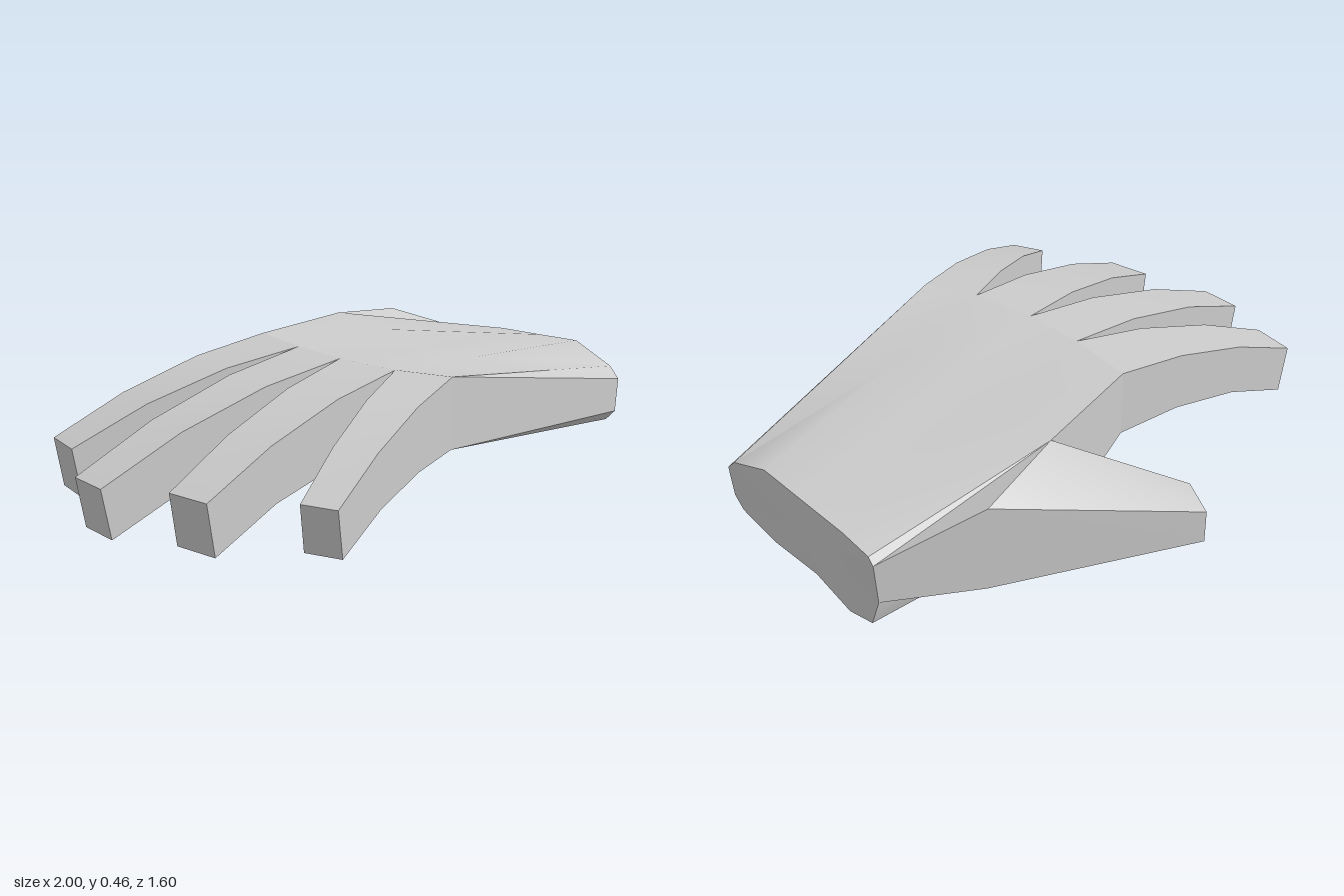
import * as THREE from 'three';
import { toCreasedNormals } from 'three/addons/utils/BufferGeometryUtils.js';

const V = (x, y, z) => new THREE.Vector3(x, y, z);

// Skin a row of equal-length rings and cap the last one.
function loft(name, rings) {
  const pos = [];
  const tri = (...pts) => pts.forEach(p => pos.push(p.x, p.y, p.z));
  const n = rings[0].length;
  for (let i = 0; i < rings.length - 1; i++) {
    for (let j = 0; j < n; j++) {
      const k = (j + 1) % n;
      const [a, b, c, d] = [rings[i][j], rings[i][k], rings[i + 1][k], rings[i + 1][j]];
      if (a.distanceTo(b) > 1e-5) tri(a, d, b);
      if (c.distanceTo(d) > 1e-5) tri(b, d, c);
    }
  }
  const end = rings[rings.length - 1];
  const centre = end.reduce((s, p) => s.add(p), V(0, 0, 0)).divideScalar(n);
  end.forEach((p, j) => tri(centre, end[(j + 1) % n], p));
  const geo = new THREE.BufferGeometry();
  geo.setAttribute('position', new THREE.Float32BufferAttribute(pos, 3));
  const mesh = new THREE.Mesh(
    toCreasedNormals(geo, 0.55),
    new THREE.MeshStandardMaterial({ color: 0xcccccc })
  );
  mesh.name = name;
  return mesh;
}

const TOP = 0.46, UNDER = 0.22;

// Knuckle line as [x, z], from the little finger side to the thumb side
const webs = [[0.02, 0.54], [-0.06, 0.36], [-0.1, 0.13], [-0.1, -0.09], [-0.07, -0.33]];

// Wrist outline as [z, y]: over the back of the hand, then under the palm
const wristOutline = [
  [0.39, 0.26], [0.35, 0.30], [0.18, 0.365], [0, 0.355], [-0.2, 0.345], [-0.32, 0.325], [-0.34, 0.30],
  [-0.34, 0.15], [-0.30, 0.04], [-0.19, 0.015], [-0.03, 0.065], [0.18, 0.065], [0.35, 0.10], [0.39, 0.14]
];

function palm() {
  const order = [0, 0, 1, 2, 3, 4, 4];
  const at = (i, y) => V(webs[i][0], y, webs[i][1]);
  const knuckles = [
    ...order.map(i => at(i, TOP)),
    ...[...order].reverse().map(i => at(i, UNDER))
  ];
  const wrist = wristOutline.map(([z, y], j) => V(j < 7 ? 1 : 0.99, y, z));
  const middle = knuckles.map((p, j) => p.clone().lerp(wrist[j], 0.42));
  // Thumb web on top, ball of the thumb below
  middle[4] = V(0.36, 0.44, -0.16);
  middle[5] = V(0.35, TOP, -0.42);
  middle[6] = V(0.35, TOP, -0.42);
  middle[7] = V(0.36, 0.06, -0.42);
  middle[8] = V(0.47, 0.005, -0.31);
  middle[9] = V(0.45, 0.04, -0.19);
  return loft('palm', [knuckles, middle, wrist]);
}

// Bent four-sided finger between two neighbouring webs
function finger(name, i, tipLow, tipHigh, tipTop, tipUnder) {
  const high = webs[i], low = webs[i + 1];
  const steps = [[0, 0, 0], [0.33, 0.18, 0.08], [0.68, 0.53, 0.42], [1, 1, 1]];
  const rings = steps.map(([t, bendTop, bendUnder]) => {
    const yTop = TOP + (tipTop - TOP) * bendTop;
    const yUnder = UNDER + (tipUnder - UNDER) * bendUnder;
    const point = (base, tip, y, s) =>
      V(base[0] + (tip[0] - base[0]) * s, y, base[1] + (tip[1] - base[1]) * s);
    const u = t * 0.965;
    return [
      point(low, tipLow, yTop, t), point(high, tipHigh, yTop, t),
      point(high, tipHigh, yUnder, u), point(low, tipLow, yUnder, u)
    ];
  });
  return loft(name, rings);
}

function thumb() {
  return loft('thumb', [
    [V(1, 0.30, -0.34), V(1, 0.30, -0.34), V(0.99, 0.15, -0.34), V(0.99, 0.15, -0.34)],
    [V(0.68, 0.42, -0.49), V(0.35, TOP, -0.42), V(0.36, 0.06, -0.42), V(0.68, 0.10, -0.48)],
    [V(0.04, 0.22, -0.80), V(-0.03, 0.22, -0.67), V(-0.03, 0.10, -0.67), V(0.04, 0.10, -0.80)]
  ]);
}

export function createModel() {
  const hand = new THREE.Group();
  hand.name = 'hand';
  hand.add(
    palm(),
    thumb(),
    finger('littleFinger', 0, [-0.71, 0.69], [-0.66, 0.80], 0.24, 0.085),
    finger('ringFinger', 1, [-0.90, 0.31], [-0.87, 0.46], 0.215, 0.04),
    finger('middleFinger', 2, [-1, -0.06], [-1, 0.09], 0.19, 0.02),
    finger('indexFinger', 3, [-0.88, -0.40], [-0.90, -0.25], 0.215, 0.045)
  );
  return hand;
}
